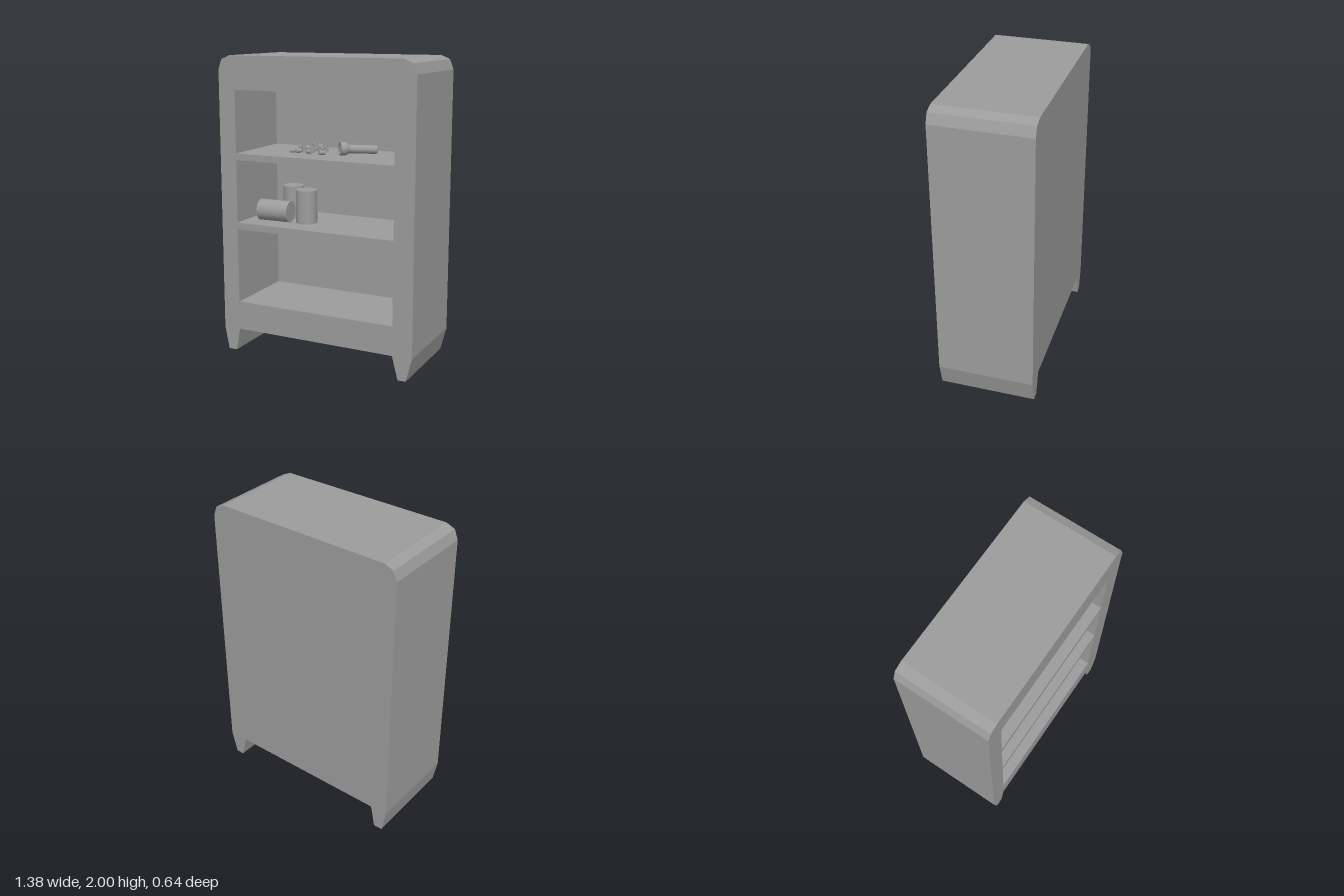
import * as THREE from 'three';

export function createModel() {
  const grey = new THREE.MeshStandardMaterial({ color: 0x9c9c9c });
  grey.name = 'grey';
  const model = new THREE.Group();
  model.name = 'bookcase';

  const add = (parent, name, geometry, x = 0, y = 0, z = 0) => {
    const mesh = new THREE.Mesh(geometry, grey);
    mesh.name = name;
    mesh.position.set(x, y, z);
    parent.add(mesh);
    return mesh;
  };

  // Cabinet outline: tapered legs and clipped top corners
  const outline = [
    [-0.66, 0], [-0.6, 0], [-0.57, 0.155], [0.555, 0.155], [0.595, 0], [0.65, 0],
    [0.69, 0.155], [0.69, 1.91], [0.665, 1.975], [0.605, 2],
    [-0.605, 2], [-0.665, 1.975], [-0.69, 1.91], [-0.69, 0.155],
  ].map(([x, y]) => new THREE.Vector2(x, y));
  const front = 0.32, back = -0.32, wall = -0.21;

  // Open compartments cut through the frame
  const frame = new THREE.Shape(outline);
  for (const [low, high] of [[0.35, 0.855], [0.9, 1.32], [1.365, 1.78]]) {
    frame.holes.push(new THREE.Path([
      [-0.57, low], [-0.57, high], [0.555, high], [0.555, low],
    ].map(([x, y]) => new THREE.Vector2(x, y))));
  }
  const extrude = (shape, depth) =>
    new THREE.ExtrudeGeometry(shape, { depth, bevelEnabled: false });
  add(model, 'shelfFrame', extrude(frame, front - wall), 0, 0, wall);
  add(model, 'backPanel', extrude(new THREE.Shape(outline), wall - back), 0, 0, back);

  // Cans on the middle shelf
  const can = new THREE.CylinderGeometry(0.071, 0.071, 0.222, 32);
  add(model, 'frontCan', can, -0.163, 1.011, 0.105);
  add(model, 'backCan', can, -0.32, 1.011, -0.003);
  const lying = add(model, 'lyingCan', can, -0.368, 0.971, 0.157);
  lying.rotation.set(0, 0.05, Math.PI / 2);

  // Flashlight on the top shelf, built along its axis from lens to tail
  const flashlight = new THREE.Group();
  flashlight.name = 'flashlight';
  const lens = new THREE.Vector3(0.08, 1.41, 0.1);
  const tail = new THREE.Vector3(0.268, 1.394, -0.065);
  const axis = tail.clone().sub(lens);
  const length = axis.length();
  const profile = [
    [0, 0.008], [0.035, 0.008], [0.035, 0], [0.043, 0], [0.043, 0.035],
    [0.028, 0.065], [0.028, length - 0.006], [0.024, length], [0, length],
  ].map(([r, y]) => new THREE.Vector2(r, y));
  // Separate bands keep the edges between them sharp
  for (let i = 0; i < profile.length - 1; i++) {
    add(flashlight, 'flashlightBand', new THREE.LatheGeometry([profile[i], profile[i + 1]], 24));
  }
  // Local z points up after turning the axis sideways
  const along = axis.normalize();
  const side = new THREE.Vector3().crossVectors(along, new THREE.Vector3(0, 1, 0)).normalize();
  const up = new THREE.Vector3().crossVectors(side, along);
  flashlight.quaternion.setFromRotationMatrix(new THREE.Matrix4().makeBasis(side, along, up));
  flashlight.position.copy(lens);
  add(flashlight, 'switchButton', new THREE.BoxGeometry(0.014, 0.03, 0.01), 0, 0.11, 0.03);
  model.add(flashlight);

  // Scattered small cells: x, z, and turn (null for upright)
  const cells = new THREE.Group();
  cells.name = 'batteries';
  const cell = new THREE.CylinderGeometry(0.015, 0.015, 0.038, 12);
  const tip = new THREE.CylinderGeometry(0.006, 0.006, 0.006, 8);
  [
    [-0.25, 0.122, 0.2], [-0.25, 0.023, null], [-0.215, 0.118, 1.1], [-0.2, 0.067, null],
    [-0.225, -0.013, 0.7], [-0.226, -0.055, 2.3], [-0.2, -0.085, null], [-0.16, -0.039, null],
    [-0.17, -0.11, 0.4], [-0.105, -0.06, null], [-0.15, 0.014, 1.8], [-0.133, 0.077, null],
    [-0.083, 0.061, null], [-0.127, 0.128, 2.7], [-0.035, 0.13, 0.9], [-0.1, -0.015, 0.3],
    [-0.06, 0.015, null],
  ].forEach(([x, z, turn]) => {
    const battery = new THREE.Group();
    battery.name = 'battery';
    add(battery, 'batteryBody', cell);
    add(battery, 'batteryTip', tip, 0, 0.022, 0);
    battery.position.set(x, turn === null ? 1.384 : 1.38, z);
    if (turn !== null) battery.rotation.set(0, turn, Math.PI / 2);
    cells.add(battery);
  });
  model.add(cells);
  return model;
}
